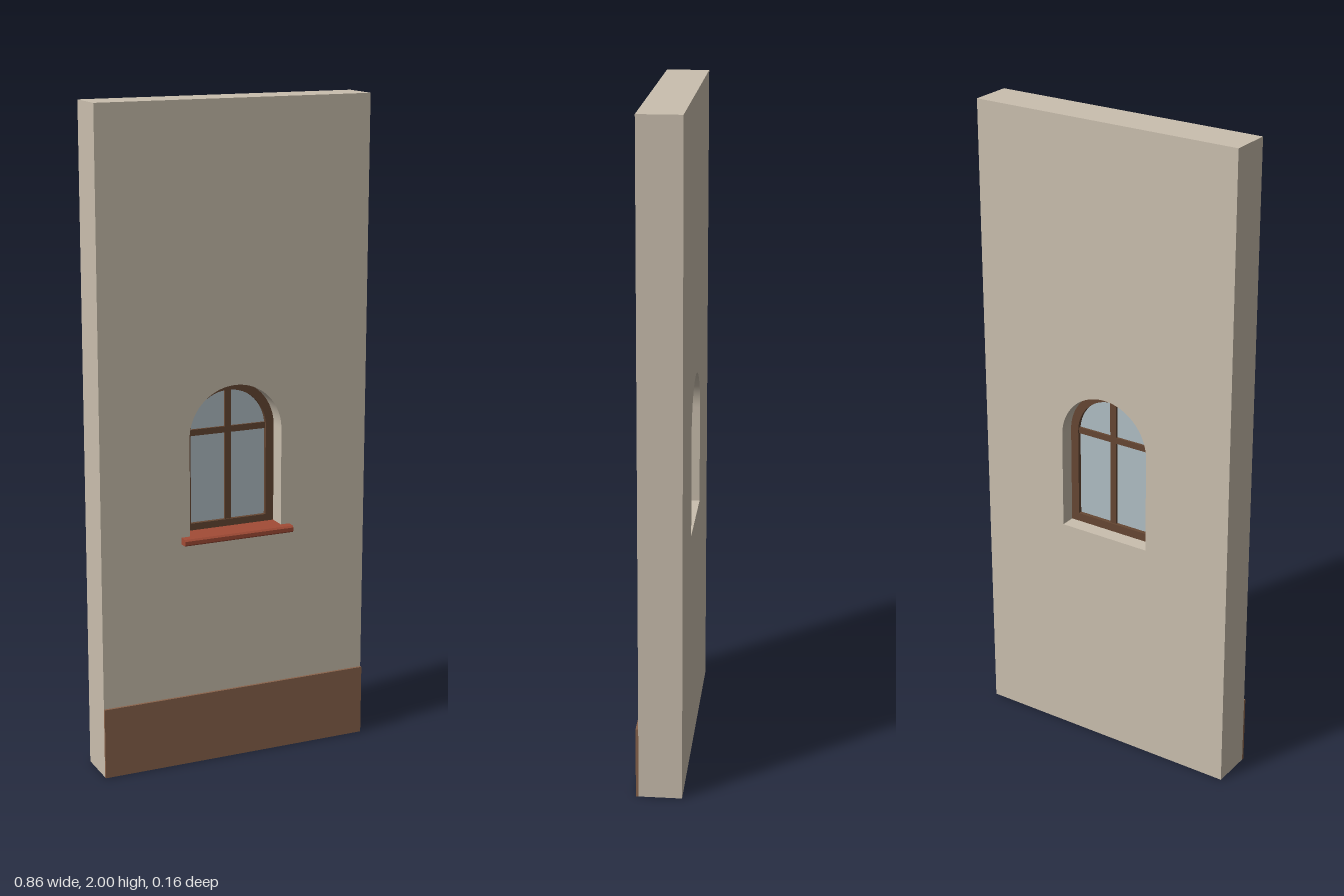
import * as THREE from 'three';
import { toCreasedNormals } from 'three/addons/utils/BufferGeometryUtils.js';

const paint = (name, color) => {
  const m = new THREE.MeshStandardMaterial({ color });
  m.name = name;
  return m;
};

const BOTTOM = 0.715, SPRING = 1.018, HALF = 0.149; // arched opening
const BACK = -0.08, FRONT = 0.048;                  // wall faces
const FRAME_BACK = -0.034, FRAME_FRONT = -0.006;

// Round-headed outline, drawn inset from the opening
function arch(Type, inset) {
  const r = HALF - inset;
  const p = new Type();
  p.moveTo(-r, BOTTOM + inset);
  p.lineTo(r, BOTTOM + inset);
  p.lineTo(r, SPRING);
  p.absarc(0, SPRING, r, 0, Math.PI, false);
  p.closePath();
  return p;
}

function extrude(shape, z0, z1) {
  const g = new THREE.ExtrudeGeometry(shape, { depth: z1 - z0, bevelEnabled: false, curveSegments: 24 });
  g.translate(0, 0, z0);
  return toCreasedNormals(g, 0.6);
}

export function createModel() {
  const group = new THREE.Group();
  const plaster = paint('plaster', 0xcabfae);
  const base = paint('plinth brown', 0x8a644c);
  const clay = paint('clay red', 0xa34c36);
  const wood = paint('dark wood', 0x664733);
  const pane = paint('pale glass', 0xb0bec4);

  const add = (name, geometry, material) => {
    const mesh = new THREE.Mesh(geometry, material);
    mesh.name = name;
    group.add(mesh);
  };
  const box = (name, material, x0, x1, y0, y1, z0, z1) => {
    const g = new THREE.BoxGeometry(x1 - x0, y1 - y0, z1 - z0);
    g.translate((x0 + x1) / 2, (y0 + y1) / 2, (z0 + z1) / 2);
    add(name, g, material);
  };

  // Wall with the arched opening
  const wall = new THREE.Shape();
  wall.moveTo(-0.43, 0);
  wall.lineTo(0.43, 0);
  wall.lineTo(0.43, 2);
  wall.lineTo(-0.43, 2);
  wall.closePath();
  wall.holes.push(arch(THREE.Path, 0));
  add('wall', extrude(wall, BACK, FRONT), plaster);

  // Plinth band on the front
  box('plinth', base, -0.43, 0.43, 0, 0.218, FRONT, 0.056);

  // Window frame, glazing bars and glass
  const frame = arch(THREE.Shape, 0);
  frame.holes.push(arch(THREE.Path, 0.026));
  add('windowFrame', extrude(frame, FRAME_BACK, FRAME_FRONT), wood);
  box('verticalBar', wood, -0.01, 0.01, BOTTOM + 0.02, SPRING + HALF - 0.02, -0.03, -0.01);
  box('crossBar', wood, -HALF + 0.02, HALF - 0.02, 1.01, 1.029, -0.029, -0.011);
  add('glass', extrude(arch(THREE.Shape, 0.02), -0.022, -0.018), pane);

  // Sill with a chamfered nose, running back to the frame
  const profile = new THREE.Shape([
    [-FRAME_FRONT, 0.7], [-0.074, 0.7], [-0.078, 0.704],
    [-0.078, 0.715], [-0.073, 0.72], [-FRAME_FRONT, 0.72],
  ].map(([z, y]) => new THREE.Vector2(z, y)));
  const sill = new THREE.ExtrudeGeometry(profile, { depth: 0.354, bevelEnabled: false });
  sill.translate(0, 0, -0.177);
  sill.rotateY(Math.PI / 2);
  add('sill', sill, clay);

  return group;
}
